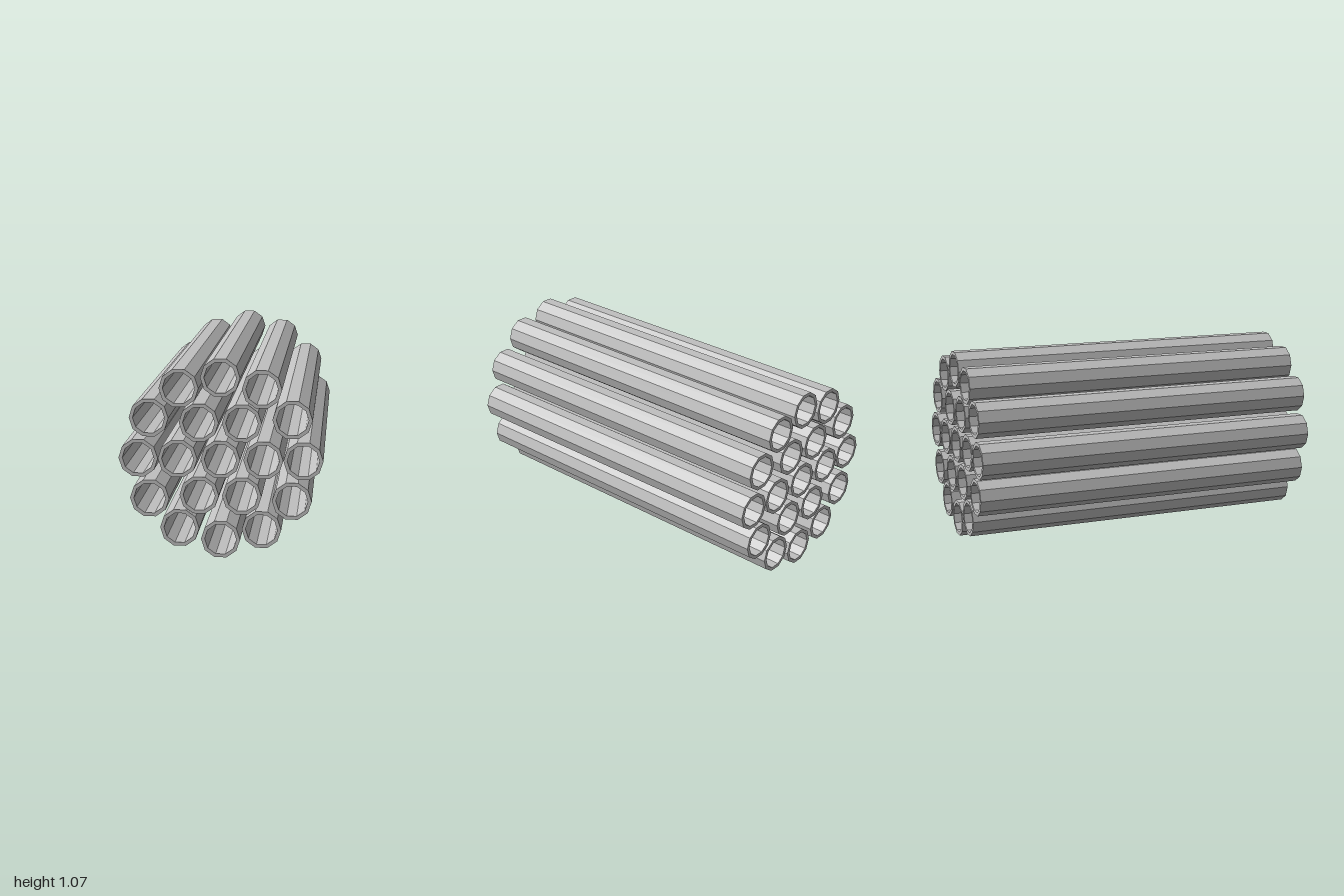
import * as THREE from 'three';

const LENGTH = 2, OUTER = 0.1045, INNER = 0.0845, SIDES = 10;
const RING = 0.4355, INNER_RING = 0.226;
const CENTRE_Y = RING + OUTER * Math.cos(Math.PI / SIDES);

// Regular polygon with corners on the x axis
function polygon(radius) {
  return Array.from({ length: SIDES }, (_, i) => {
    const a = (i / SIDES) * Math.PI * 2;
    return new THREE.Vector2(radius * Math.cos(a), radius * Math.sin(a));
  });
}

export function createModel() {
  const model = new THREE.Group();
  model.name = 'tubeBundle';
  const metal = new THREE.MeshStandardMaterial({ color: 0xc0c0c0 });
  metal.name = 'grey metal';

  // Ten-sided hollow tube, open at both ends
  const section = new THREE.Shape(polygon(OUTER));
  section.holes.push(new THREE.Path(polygon(INNER)));
  const tubeGeometry = new THREE.ExtrudeGeometry(section, { depth: LENGTH, bevelEnabled: false });
  tubeGeometry.translate(0, 0, -LENGTH / 2);

  // Evenly spaced circle of parallel tubes
  function addRing(name, count, radius) {
    const ring = new THREE.Group();
    ring.name = name;
    for (let i = 0; i < count; i++) {
      const a = (i / count) * Math.PI * 2;
      const tube = new THREE.Mesh(tubeGeometry, metal);
      tube.name = `${name}Tube${i + 1}`;
      tube.position.set(radius * Math.cos(a), CENTRE_Y + radius * Math.sin(a), 0);
      ring.add(tube);
    }
    model.add(ring);
  }

  addRing('centre', 1, 0);
  addRing('innerRing', 6, INNER_RING);
  addRing('outerRing', 12, RING);
  return model;
}
